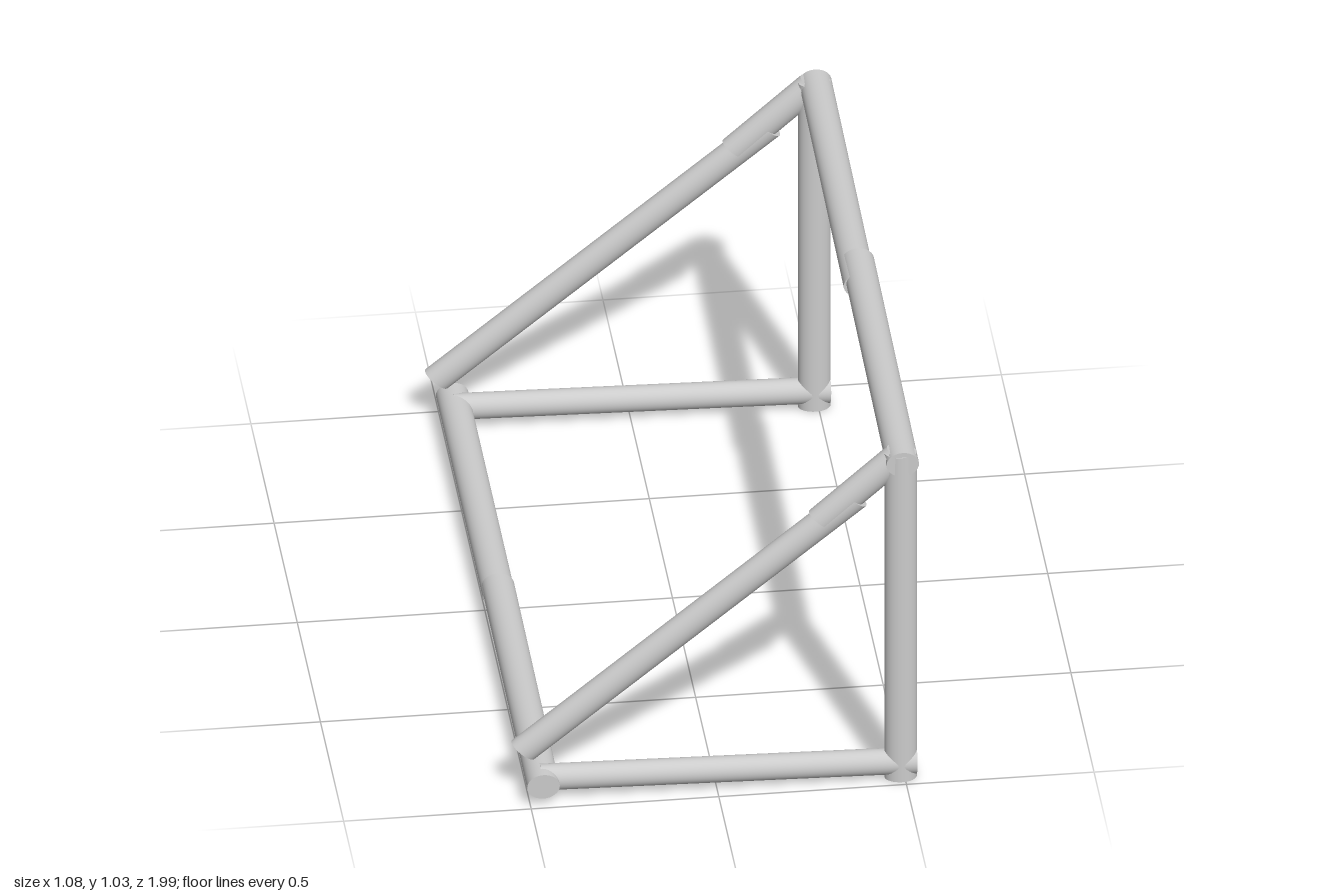
import * as THREE from 'three';

// Tubes are round in an unstretched space, then the whole frame is stretched.
const STRETCH = new THREE.Vector3(0.0435, 0.0365, 0.033);
const material = new THREE.MeshStandardMaterial({ color: 0xcccccc });
const UP = new THREE.Vector3(0, 1, 0);

// A capped tube between two points given in final coordinates
function tube(name, from, to) {
  const a = new THREE.Vector3(...from).divide(STRETCH);
  const b = new THREE.Vector3(...to).divide(STRETCH);
  const axis = b.clone().sub(a);
  const mesh = new THREE.Mesh(new THREE.CylinderGeometry(1, 1, axis.length(), 32), material);
  mesh.name = name;
  mesh.position.copy(a).add(b).multiplyScalar(0.5);
  mesh.quaternion.setFromUnitVectors(UP, axis.normalize());
  return mesh;
}

export function createModel() {
  const frame = new THREE.Group();
  frame.name = 'tubeFrame';
  frame.scale.copy(STRETCH);

  // Triangular end frames, front and back
  for (const [side, z, lowZ] of [['front', 0.955, 0.905], ['back', -0.91, -0.962]]) {
    const end = new THREE.Group();
    end.name = side + 'EndFrame';
    end.add(
      tube('post', [0.49, 0, z], [0.49, 1.01, z]),
      tube('baseBeam', [-0.47, 0.063, z - 0.01], [0.532, 0.046, z]),
      tube('lowerBrace', [-0.51, 0.127, lowZ], [0.37, 0.871, z - 0.014]),
      tube('upperBrace', [0.28, 0.805, z - 0.017], [0.487, 0.995, z - 0.009])
    );
    frame.add(end);
  }

  // Long rails, each made of two overlapping halves
  frame.add(
    tube('topRailFront', [0.492, 0.988, 0.985], [0.498, 0.994, -0.035]),
    tube('topRailBack', [0.49, 0.987, 0.08], [0.497, 0.988, -0.945]),
    tube('bottomRailFront', [-0.466, 0.06, 0.99], [-0.463, 0.063, -0.02]),
    tube('bottomRailBack', [-0.465, 0.057, 0.035], [-0.466, 0.063, -0.98])
  );

  const model = new THREE.Group();
  model.name = 'model';
  model.add(frame);
  return model;
}
